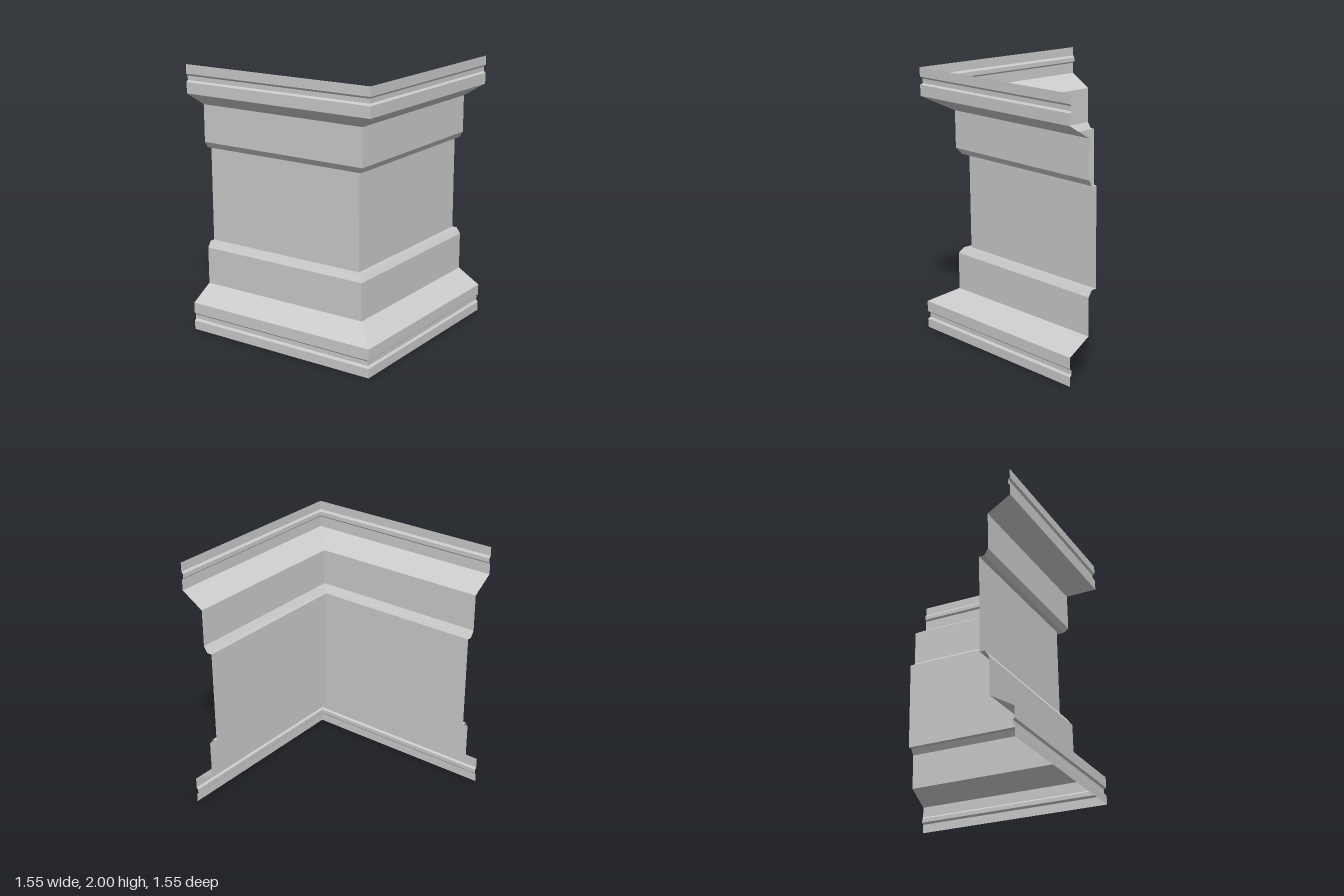
import * as THREE from 'three';

const END = -0.777; // open end of both walls

// Lower half of the moulding profile as [outward distance, height]
const foot = [[0.777, 0], [0.777, 0.068], [0.763, 0.083], [0.763, 0.115], [0.777, 0.128], [0.777, 0.21], [0.602, 0.315]];
const band = [[0.602, 0.315], [0.602, 0.595], [0.572, 0.64], [0.533, 0.64]];
const panel = [[0.533, 0.64], [0.533, 1.36]];

// The upper half mirrors the lower one
const mirror = (profile) => profile.map(([d, y]) => [d, 2 - y]).reverse();

// Sweep a profile along one wall; the two walls meet in a mitre at x = z
function wallGeometry(profile, ends) {
  const positions = [];
  for (let i = 0; i < profile.length - 1; i++) {
    const [a0, b0] = ends(...profile[i]);
    const [a1, b1] = ends(...profile[i + 1]);
    positions.push(...a0, ...b0, ...b1, ...a0, ...b1, ...a1);
  }
  const geometry = new THREE.BufferGeometry();
  geometry.setAttribute('position', new THREE.Float32BufferAttribute(positions, 3));
  geometry.computeVertexNormals();
  return geometry;
}

export function createModel() {
  const model = new THREE.Group();
  model.name = 'cornerWall';
  const material = new THREE.MeshStandardMaterial({
    color: 0xcccccc, flatShading: true, side: THREE.DoubleSide,
  });

  const walls = {
    front: (d, y) => [[END, y, d], [d, y, d]],
    left: (d, y) => [[d, y, d], [d, y, END]],
  };
  const parts = {
    FootMoulding: foot,
    LowerBand: band,
    Panel: panel,
    UpperBand: mirror(band),
    CrownMoulding: mirror(foot),
  };

  // Each wall is an open shell of stacked moulding parts
  for (const [side, ends] of Object.entries(walls)) {
    const wall = new THREE.Group();
    wall.name = side + 'Wall';
    for (const [part, profile] of Object.entries(parts)) {
      const mesh = new THREE.Mesh(wallGeometry(profile, ends), material);
      mesh.name = side + part;
      wall.add(mesh);
    }
    model.add(wall);
  }
  return model;
}
